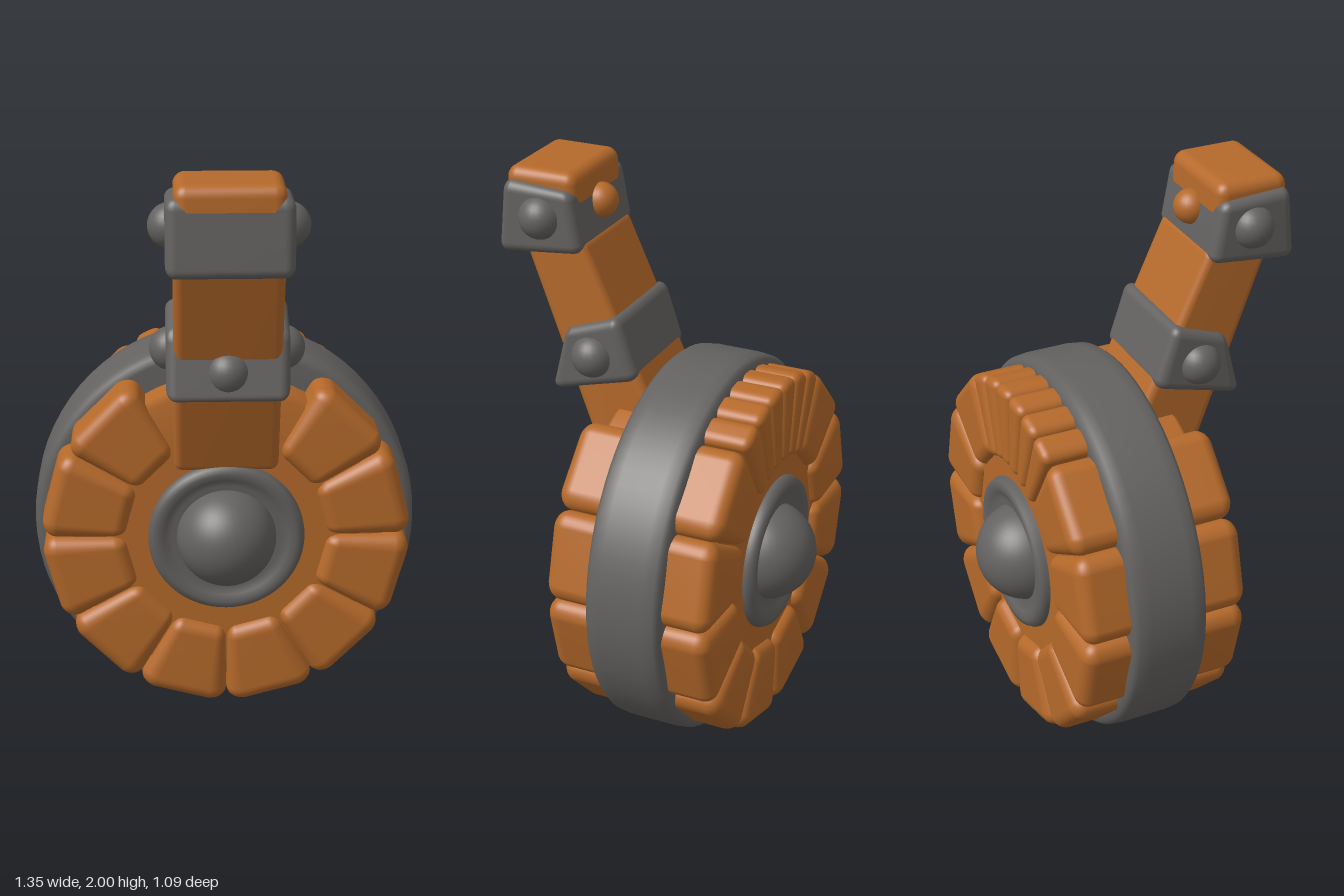
import * as THREE from 'three';
import { mergeVertices } from 'three/addons/utils/BufferGeometryUtils.js';
import { RoundedBoxGeometry } from 'three/addons/geometries/RoundedBoxGeometry.js';

const wood = new THREE.MeshStandardMaterial({ color: 0xb5692a });
const metal = new THREE.MeshStandardMaterial({ color: 0x646260 });
wood.name = 'wood';
metal.name = 'metal';

const CY = 0.672; // wheel centre height

// Rounded box whose vertices are moved by a rule, then smoothed
function warpedBox(w, h, d, radius, rule) {
  const box = new RoundedBoxGeometry(w, h, d, 4, radius);
  box.deleteAttribute('uv');
  box.deleteAttribute('normal');
  const geo = mergeVertices(box, 1e-5);
  const pos = geo.attributes.position;
  const v = new THREE.Vector3();
  for (let i = 0; i < pos.count; i++) {
    rule(v.fromBufferAttribute(pos, i));
    pos.setXYZ(i, v.x, v.y, v.z);
  }
  geo.computeVertexNormals();
  return geo;
}

// Wedge-shaped block of the wheel between two angles
function wedge(a0, a1, r0, r1, z0, z1) {
  const mid = (a0 + a1) / 2, rMid = (r0 + r1) / 2;
  const w = (a1 - a0) * rMid, dz = z1 - z0;
  return warpedBox(w, r1 - r0, dz, Math.min(0.05, w * 0.35), (v) => {
    const a = mid - v.x / rMid, r = rMid + v.y;
    v.set(Math.cos(a) * r, Math.sin(a) * r, v.z + (z0 + z1) / 2);
  });
}

// Bar across x whose side outline is a quad of [z, y] corners:
// back bottom, front bottom, front top, back top
function bar(halfWidth, radius, [bb, fb, ft, bt]) {
  const h = (ft[1] + bt[1] - fb[1] - bb[1]) / 2;
  const d = (fb[0] + ft[0] - bb[0] - bt[0]) / 2;
  const mix = THREE.MathUtils.lerp;
  return warpedBox(halfWidth * 2, h, d, radius, (v) => {
    const s = v.z / d + 0.5, t = v.y / h + 0.5;
    const at = (k) => mix(mix(bb[k], fb[k], s), mix(bt[k], ft[k], s), t);
    v.set(v.x, at(1), at(0));
  });
}

// Lathe around the z axis from [radius, z] points
function turned(points) {
  const geo = new THREE.LatheGeometry(points.map(([r, z]) => new THREE.Vector2(r, z)), 72);
  return geo.rotateX(Math.PI / 2);
}

export function createModel() {
  const model = new THREE.Group();
  model.name = 'wheelWithHandle';
  const add = (parent, name, geo, mat, x = 0, y = 0, z = 0) => {
    const mesh = new THREE.Mesh(geo, mat);
    mesh.name = name;
    mesh.position.set(x, y, z);
    parent.add(mesh);
    return mesh;
  };

  // Wheel: metal band over a wooden core
  const wheel = new THREE.Group();
  wheel.name = 'wheel';
  wheel.position.y = CY;
  model.add(wheel);
  add(wheel, 'band', turned([
    [0.5, -0.272], [0.63, -0.272], [0.655, -0.266], [0.668, -0.25], [0.673, -0.21],
    [0.673, -0.06], [0.668, -0.02], [0.655, -0.004], [0.63, 0.002], [0.5, 0.002],
  ]), metal);
  add(wheel, 'core', turned([
    [0, -0.4], [0.36, -0.4], [0.53, -0.395], [0.555, -0.37],
    [0.555, 0.1], [0.53, 0.125], [0.36, 0.13], [0, 0.13],
  ]), wood);

  // Wooden blocks: the front leaves a gap for the handle, the back has narrow ones there
  const step = Math.PI / 6;
  for (let i = 0; i < 12; i++) {
    const a = i * step, top = i === 2 || i === 3;
    if (!top) add(wheel, 'frontBlock', wedge(a, a + step, 0.345, 0.64, -0.05, 0.163), wood);
    const parts = top ? 3 : 1;
    for (let k = 0; k < parts; k++) {
      const b = a + (k * step) / parts;
      add(wheel, 'backBlock', wedge(b, b + step / parts, 0.345, 0.64, -0.433, -0.22), wood);
    }
  }

  // Dished hub plate and dome on each side
  for (const side of [1, -1]) {
    const hub = new THREE.Group();
    hub.name = side > 0 ? 'frontHub' : 'backHub';
    hub.position.z = side > 0 ? 0.14 : -0.41;
    if (side < 0) hub.rotation.y = Math.PI;
    wheel.add(hub);
    add(hub, 'hubPlate', turned([
      [0.272, -0.06], [0.272, 0.0], [0.262, 0.02], [0.24, 0.027], [0.215, 0.018],
      [0.19, 0.004], [0, 0.0],
    ]), metal);
    add(hub, 'hubDome', new THREE.SphereGeometry(0.174, 40, 28), metal, 0, 0, side > 0 ? -0.005 : -0.033);
  }

  // Leaning handle with a wooden end cap
  const handle = new THREE.Group();
  handle.name = 'handle';
  model.add(handle);
  add(handle, 'shaft', bar(0.18, 0.03, [[-0.13, 0.98], [0.145, 0.91], [0.455, 1.75], [0.235, 1.78]]), wood);
  add(handle, 'endCap', bar(0.178, 0.04, [[0.25, 1.8], [0.525, 1.8], [0.515, 2.0], [0.262, 2.0]]), wood);

  // Metal clamps
  add(handle, 'lowerClamp', bar(0.205, 0.035, [[0.025, 1.315], [0.355, 1.225], [0.295, 1.465], [0.1, 1.535]]), metal);
  add(handle, 'upperClamp', bar(0.205, 0.035, [[0.225, 1.735], [0.54, 1.7], [0.515, 1.96], [0.265, 1.945]]), metal);

  // Studs on the clamps
  const stud = new THREE.SphereGeometry(0.075, 24, 16);
  for (const side of [1, -1]) {
    add(handle, 'upperSideStud', stud, metal, side * 0.185, 1.845, 0.38);
    add(handle, 'lowerSideStud', stud, metal, side * 0.185, 1.38, 0.195);
  }
  add(handle, 'lowerFrontStud', stud, metal, 0, 1.325, 0.29);
  add(handle, 'upperBackStud', new THREE.SphereGeometry(0.06, 24, 16), wood, 0, 1.865, 0.25);

  return model;
}
